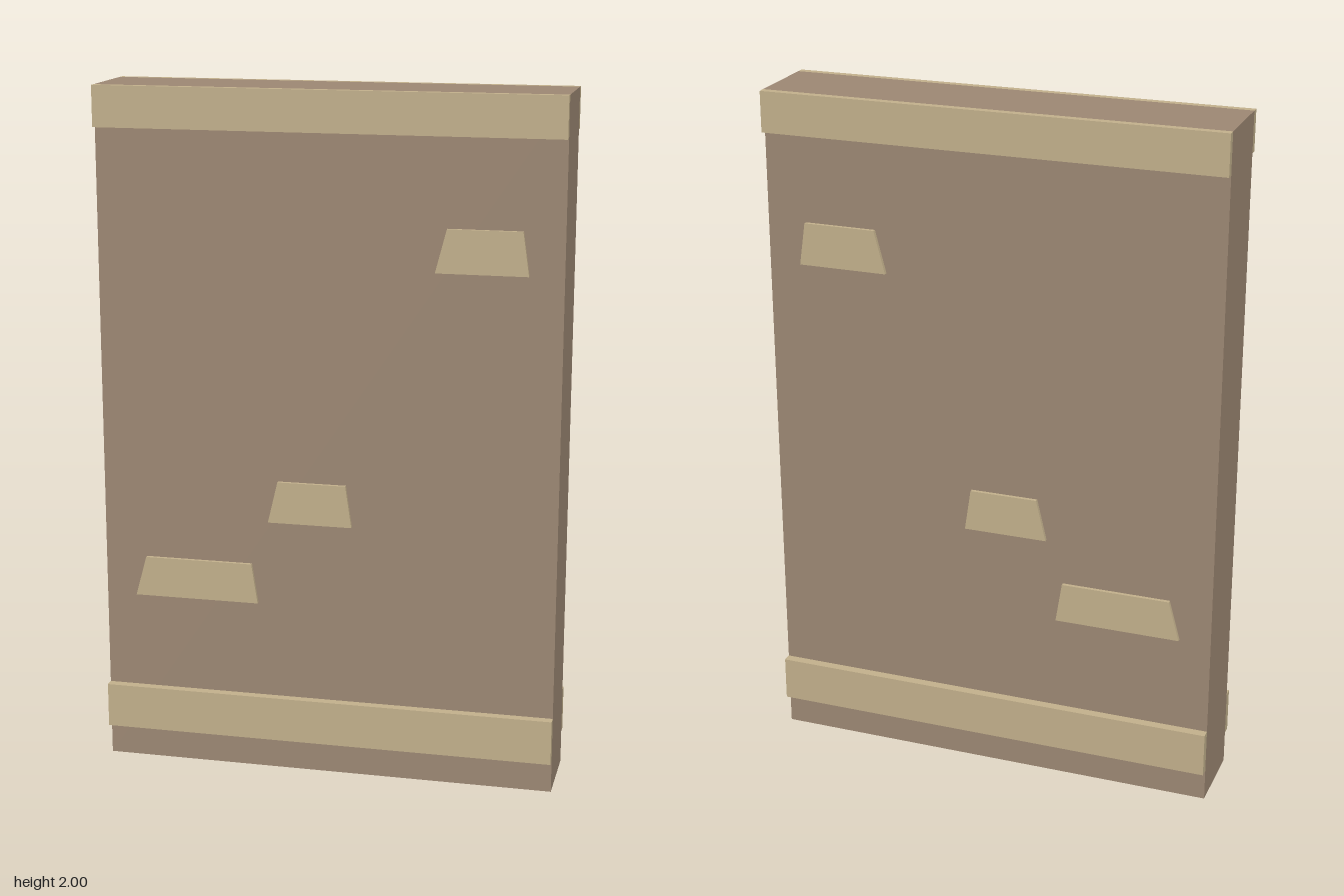
import * as THREE from 'three';

const WIDTH = 1.33;
const HALF_DEPTH = 0.114;

export function createModel() {
  const model = new THREE.Group();
  model.name = 'wallPanel';

  const plaster = new THREE.MeshStandardMaterial({ color: 0x9b8672 });
  plaster.name = 'brown plaster';
  const stone = new THREE.MeshStandardMaterial({ color: 0xc0ae8a });
  stone.name = 'tan stone';

  // Main slab
  const slab = new THREE.Mesh(new THREE.BoxGeometry(WIDTH, 2, HALF_DEPTH * 2), plaster);
  slab.name = 'wallSlab';
  slab.position.y = 1;
  model.add(slab);

  // Trim bands: bottom y, top y, outer z
  const bands = [
    ['topTrim', 1.883, 2, 0.136],
    ['baseTrim', 0.095, 0.226, 0.141],
  ];
  // Raised stones: bottom y, top y, bottom left/right x, top left/right x
  const stones = [
    [1.507, 1.63, 0.308, 0.568, 0.34, 0.55],
    [0.76, 0.882, -0.171, 0.075, -0.142, 0.057],
    [0.511, 0.629, -0.573, -0.204, -0.541, -0.222],
  ];
  const stoneDepth = 0.011;

  for (const side of [1, -1]) {
    const face = side > 0 ? 'front' : 'back';

    for (const [name, y0, y1, z] of bands) {
      const depth = z - HALF_DEPTH;
      const band = new THREE.Mesh(new THREE.BoxGeometry(WIDTH, y1 - y0, depth), stone);
      band.name = `${face} ${name}`;
      band.position.set(0, (y0 + y1) / 2, side * (HALF_DEPTH + depth / 2));
      model.add(band);
    }

    stones.forEach(([y0, y1, bl, br, tl, tr], i) => {
      const outline = new THREE.Shape([
        new THREE.Vector2(bl, y0),
        new THREE.Vector2(br, y0),
        new THREE.Vector2(tr, y1),
        new THREE.Vector2(tl, y1),
      ]);
      const geometry = new THREE.ExtrudeGeometry(outline, { depth: stoneDepth, bevelEnabled: false });
      const block = new THREE.Mesh(geometry, stone);
      block.name = `${face} raisedStone${i + 1}`;
      block.position.z = side > 0 ? HALF_DEPTH : -HALF_DEPTH - stoneDepth;
      model.add(block);
    });
  }

  return model;
}
